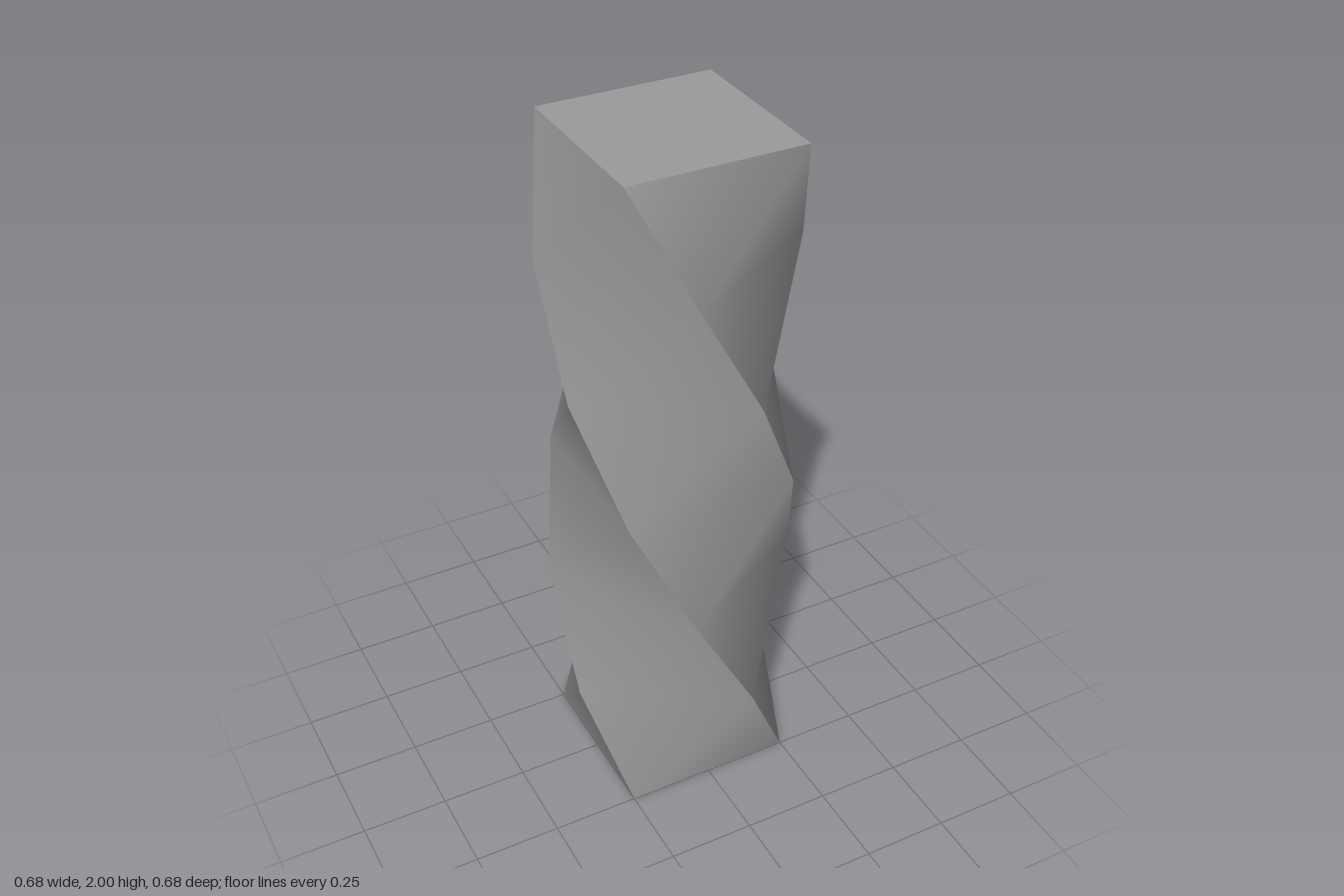
import * as THREE from 'three';

const SIDE = 0.5, HEIGHT = 2, LEVELS = 6, TWIST = -Math.PI;

export function createModel() {
  const group = new THREE.Group();
  group.name = 'twistedColumn';

  // Square shaft standing on the ground, each level turned a further 30 degrees
  const geometry = new THREE.BoxGeometry(SIDE, HEIGHT, SIDE, 1, LEVELS, 1);
  geometry.translate(0, HEIGHT / 2, 0);
  const pos = geometry.attributes.position;
  const up = new THREE.Vector3(0, 1, 0);
  const v = new THREE.Vector3();
  for (let i = 0; i < pos.count; i++) {
    v.fromBufferAttribute(pos, i);
    v.applyAxisAngle(up, TWIST * v.y / HEIGHT);
    pos.setXYZ(i, v.x, v.y, v.z);
  }

  // Box sides share no vertices, so corners stay sharp and sides shade smoothly
  geometry.computeVertexNormals();

  // Darker mid-grey finish
  const shaft = new THREE.Mesh(geometry, new THREE.MeshStandardMaterial({ color: 0x9b9b9b }));
  shaft.name = 'shaft';
  group.add(shaft);
  return group;
}
